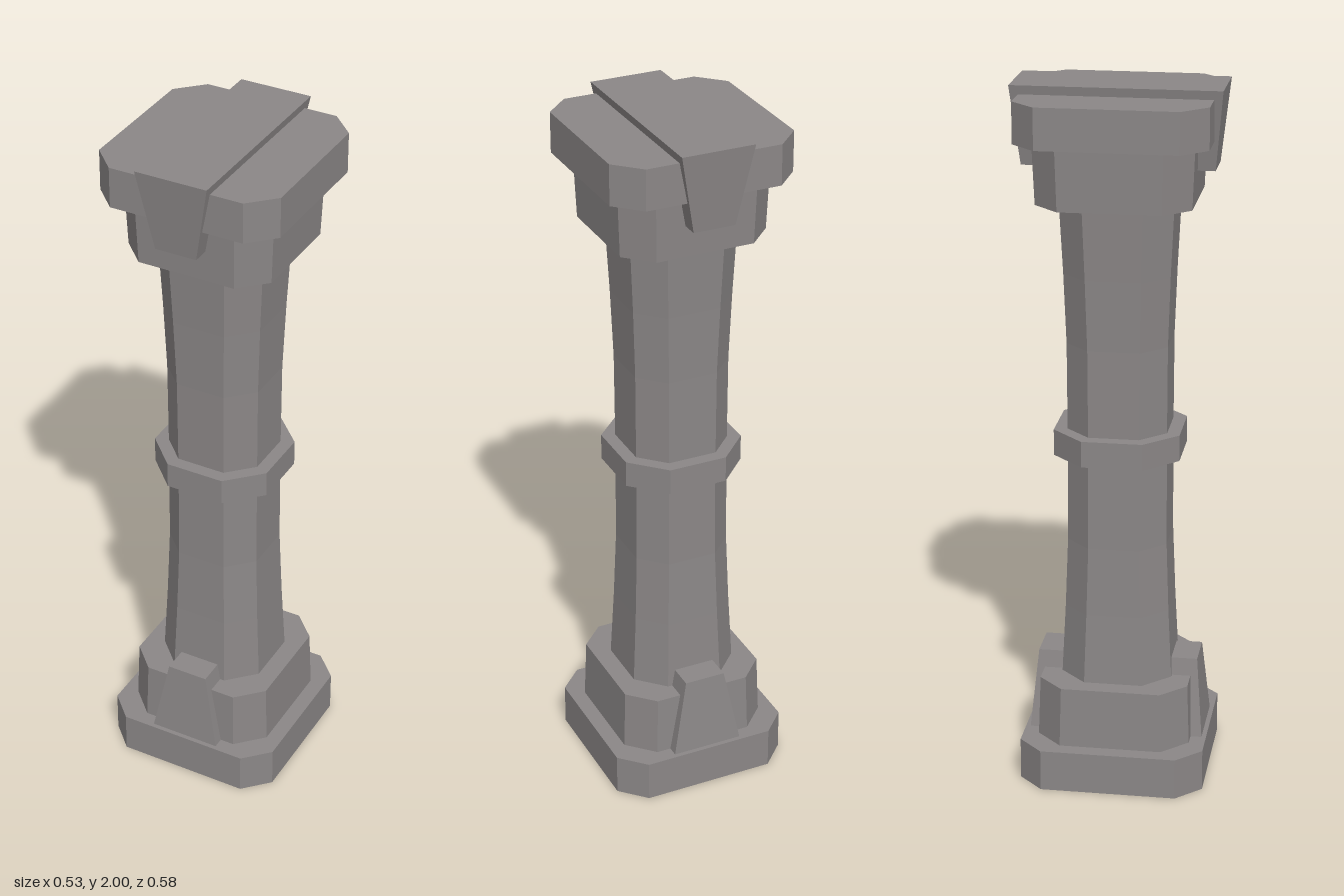
import * as THREE from 'three';

const stone = new THREE.MeshStandardMaterial({ color: 0x8b8787, side: THREE.DoubleSide, flatShading: true });
stone.name = 'grey stone';

// Corners of a chamfered square, counter-clockwise from above
function octagon([y, half, flat]) {
  return [
    [flat, half], [half, flat], [half, -flat], [flat, -half],
    [-flat, -half], [-half, -flat], [-half, flat], [-flat, half],
  ].map(([x, z]) => new THREE.Vector3(x, y, z));
}

// Rectangle ring with separate z limits
function rectangle(y, x, z0, z1) {
  return [[x, z1], [x, z0], [-x, z0], [-x, z1]].map(([px, pz]) => new THREE.Vector3(px, y, pz));
}

// Faceted skin through a stack of rings running upward, with optional end caps
function loft(name, rings, capBottom, capTop) {
  const points = [];
  const n = rings[0].length;
  for (let r = 0; r < rings.length - 1; r++) {
    for (let i = 0; i < n; i++) {
      const j = (i + 1) % n;
      const a = rings[r][i], b = rings[r][j], c = rings[r + 1][j], d = rings[r + 1][i];
      points.push(a, b, c, a, c, d);
    }
  }
  const first = rings[0], last = rings[rings.length - 1];
  for (let i = 1; i < n - 1; i++) {
    if (capBottom) points.push(first[0], first[i + 1], first[i]);
    if (capTop) points.push(last[0], last[i], last[i + 1]);
  }
  const geometry = new THREE.BufferGeometry().setFromPoints(points);
  geometry.computeVertexNormals();
  const mesh = new THREE.Mesh(geometry, stone);
  mesh.name = name;
  return mesh;
}

export function createModel() {
  const pillar = new THREE.Group();
  pillar.name = 'pillar';
  const add = (name, profile, capTop = false) =>
    pillar.add(loft(name, profile.map(octagon), false, capTop));

  // Hollow base, open underneath: each part ends in a ledge that meets the next
  add('plinth', [[0, 0.263, 0.193], [0.12, 0.263, 0.193], [0.12, 0.218, 0.145]]);
  add('baseBlock', [[0.12, 0.218, 0.145], [0.295, 0.212, 0.141], [0.295, 0.158, 0.083]]);

  // Shaft with a narrow waist
  add('shaft', [
    [0.295, 0.158, 0.083], [0.5, 0.148, 0.077], [0.7, 0.141, 0.072], [0.955, 0.14, 0.071],
    [1.03, 0.14, 0.071], [1.28, 0.141, 0.072], [1.48, 0.148, 0.077], [1.685, 0.158, 0.083],
  ]);
  add('collar', [
    [0.955, 0.14, 0.071], [0.955, 0.177, 0.085], [1.03, 0.177, 0.085], [1.03, 0.14, 0.071],
  ]);

  // Capital
  add('capitalBlock', [[1.685, 0.158, 0.083], [1.685, 0.213, 0.141], [1.86, 0.22, 0.145]]);
  add('capitalSlab', [[1.86, 0.22, 0.145], [1.86, 0.263, 0.193], [1.975, 0.263, 0.193]], true);

  // Keystone bar running across the top from front to back
  pillar.add(loft('keystoneBar', [
    rectangle(1.775, 0.06, -0.265, 0.265), rectangle(2, 0.104, -0.288, 0.288),
  ], true, true));

  // Tapered wedges on the front and back of the base
  for (const [name, turn] of [['frontWedge', 0], ['backWedge', Math.PI]]) {
    const wedge = loft(name, [
      rectangle(0.12, 0.104, 0.13, 0.25), rectangle(0.345, 0.06, 0.13, 0.23),
    ], true, true);
    wedge.rotation.y = turn;
    pillar.add(wedge);
  }
  return pillar;
}
